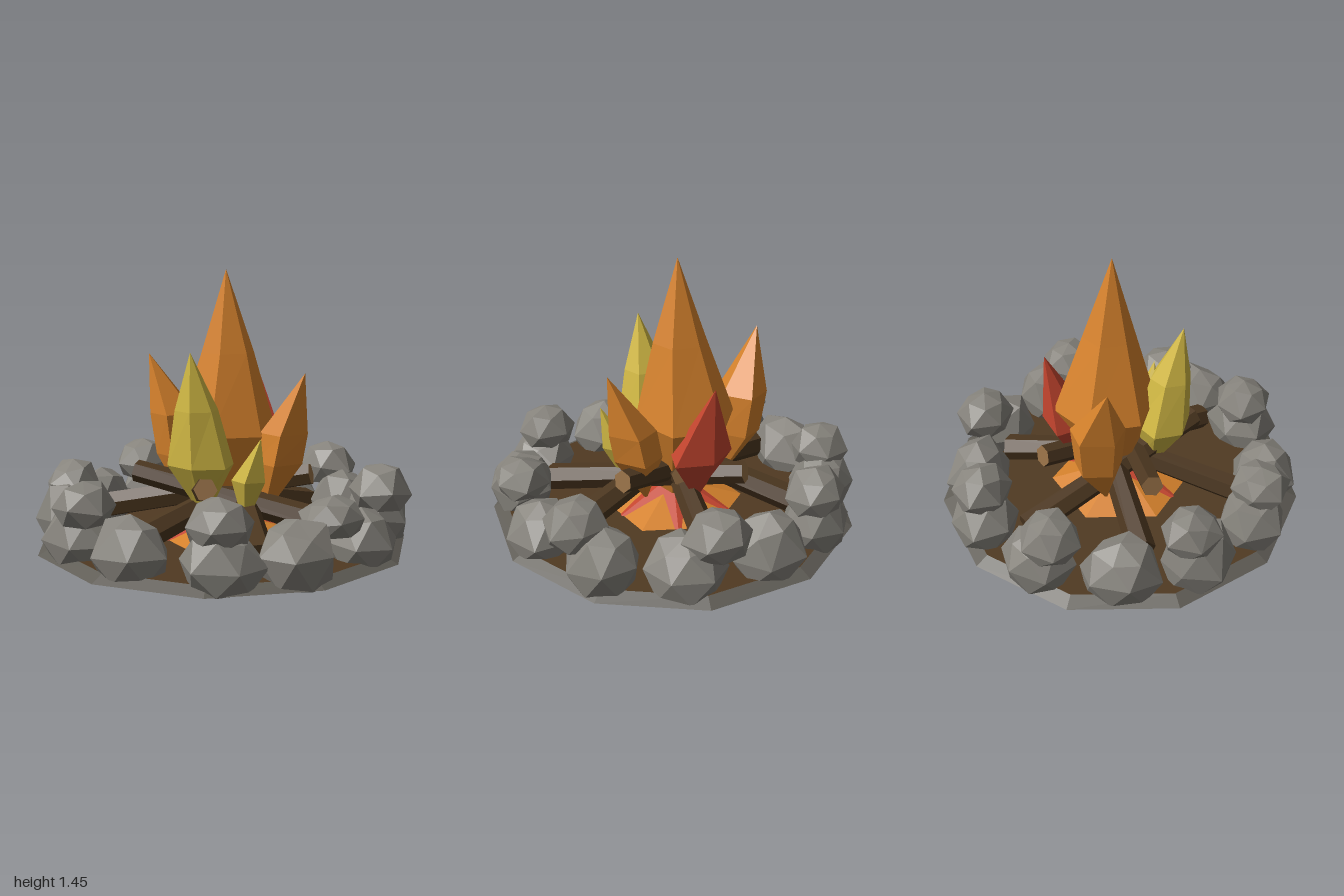
import * as THREE from 'three';

const mat = (name, color) => {
  const m = new THREE.MeshStandardMaterial({ color, flatShading: true });
  m.name = name;
  return m;
};

export function createModel() {
  const model = new THREE.Group();
  model.name = 'campfire';
  const stone = mat('stone grey', 0x86837c);
  const rim = mat('rim grey', 0x5f5c55);
  const soil = mat('soil brown', 0x503a22);
  const bark = mat('bark brown', 0x4c3720);
  const cut = mat('cut wood', 0x946e45);
  const orange = mat('flame orange', 0xd6822c);
  const yellow = mat('flame yellow', 0xd2b944);
  const red = mat('flame red', 0xc4452f);

  let seed = 11;
  const rand = () => (seed = (seed * 16807) % 2147483647) / 2147483647;
  const add = (geometry, material, name, parent = model) => {
    const mesh = new THREE.Mesh(geometry, material);
    mesh.name = name;
    parent.add(mesh);
    return mesh;
  };
  const group = (name) => {
    const g = new THREE.Group();
    g.name = name;
    model.add(g);
    return g;
  };

  // Eleven-sided patch of earth with a sloping grey rim
  const ground = new THREE.CylinderGeometry(0.93, 1, 0.036, 11, 1, false, Math.PI / 2);
  add(ground, [rim, soil, soil], 'ground').position.y = 0.022;

  // Glowing embers: two low six-sided cones, turned so their corners alternate
  const embers = group('embers');
  add(new THREE.ConeGeometry(0.4, 0.13, 6, 1, false, Math.PI / 3), orange, 'orangeEmbers', embers).position.y = 0.1;
  add(new THREE.ConeGeometry(0.355, 0.15, 6, 1, false, Math.PI / 6), red, 'redEmbers', embers).position.y = 0.11;

  // Stone: faceted lump of three rings, each turned half a step, with a flat foot
  const rocks = group('stoneRing');
  const yAxis = new THREE.Vector3(0, 1, 0);
  const ringShape = { '-1': [0, 0.78], 0: [0.4, 1], 1: [0.84, 0.64] };
  const addRock = (name, x, z, bottom, top, sx, sz) => {
    const geo = new THREE.SphereGeometry(1, 6, 4).toNonIndexed();
    const p = geo.attributes.position;
    const spin = rand() * 6.28;
    const corners = new Map();
    const v = new THREE.Vector3();
    for (let i = 0; i < p.count; i++) {
      v.fromBufferAttribute(p, i);
      const key = v.toArray().map((c) => Math.round(c * 100)).join();
      if (!corners.has(key)) corners.set(key, [0.9 + rand() * 0.15, (rand() - 0.5) * 0.2]);
      const [spread, lift] = corners.get(key);
      const ring = Math.round(v.y * 1.4);
      const pole = Math.abs(v.y) > 0.9;
      const [level, radius] = ringShape[ring];
      let height = level + lift;
      if (ring < 0) height = 0;
      else if (pole) height = 1;
      v.y = 0;
      if (!pole) v.setLength(radius * spread);
      v.applyAxisAngle(yAxis, spin + (ring * Math.PI) / 6);
      p.setXYZ(i, v.x * sx, height * (top - bottom), v.z * sz);
    }
    geo.rotateY(Math.atan2(x, z));
    geo.computeVertexNormals();
    add(geo, stone, name, rocks).position.set(x, bottom, z);
  };

  // Twelve stones on the ground: [x, z, top height]
  [
    [-0.05, 0.8, 0.31], [0.41, 0.73, 0.28], [0.68, 0.5, 0.31], [0.81, 0.03, 0.28],
    [0.71, -0.42, 0.33], [0.41, -0.69, 0.3], [-0.03, -0.79, 0.33], [-0.4, -0.73, 0.29],
    [-0.72, -0.43, 0.32], [-0.81, -0.01, 0.31], [-0.73, 0.38, 0.34], [-0.43, 0.69, 0.29],
  ].forEach(([x, z, top]) => addRock('groundStone', x, z, 0, top, 0.215, 0.19));

  // Eight stones resting on top: [x, z, top height]
  [
    [0.39, 0.73, 0.43], [0.77, 0.3, 0.39], [0.79, -0.3, 0.44], [0.28, -0.77, 0.44],
    [-0.38, -0.73, 0.44], [-0.75, -0.36, 0.43], [-0.73, 0.35, 0.43], [-0.38, 0.73, 0.42],
  ].forEach(([x, z, top]) => addRock('upperStone', x, z, 0.21, top, 0.175, 0.165));

  // Six leaning logs: low outer end, raised inner end
  const logs = group('logs');
  [
    [[-0.47, 0.1, -0.5], [0.14, 0.37, 0.42]],
    [[0.21, 0.1, -0.64], [-0.04, 0.28, 0.08]],
    [[0.68, 0.13, -0.07], [-0.45, 0.36, 0.16]],
    [[0.49, 0.1, 0.5], [-0.17, 0.34, -0.42]],
    [[-0.17, 0.1, 0.62], [0.08, 0.3, -0.2]],
    [[-0.68, 0.13, 0.1], [0.44, 0.37, -0.18]],
  ].forEach(([a, b]) => {
    const low = new THREE.Vector3(...a);
    const high = new THREE.Vector3(...b);
    const dir = high.clone().sub(low);
    const log = add(new THREE.CylinderGeometry(0.06, 0.075, dir.length(), 6), [bark, cut, bark], 'log', logs);
    log.position.copy(low).add(high).multiplyScalar(0.5);
    log.quaternion.setFromUnitVectors(yAxis, dir.normalize());
  });

  // Flame: faceted spindle lofted through rings [x, y, z, rx, rz] from tip to base
  const flames = group('flames');
  const addFlame = (name, material, sides, turn, rings) => {
    const geo = new THREE.CylinderGeometry(1, 1, 1, sides, rings.length - 1, true, turn);
    const p = geo.attributes.position;
    for (let i = 0; i < p.count; i++) {
      const [x, y, z, rx, rz] = rings[Math.floor(i / (sides + 1))];
      p.setXYZ(i, x + p.getX(i) * rx, y, z + p.getZ(i) * rz);
    }
    const flat = geo.toNonIndexed();
    flat.computeVertexNormals();
    add(flat, material, name, flames);
  };
  addFlame('mainFlame', orange, 6, 0.2, [
    [0, 1.45, -0.04, 0, 0],
    [0, 1.01, -0.06, 0.145, 0.14],
    [-0.02, 0.58, -0.08, 0.275, 0.28],
    [0, 0.1, -0.03, 0.08, 0.08],
  ]);
  addFlame('rightSideFlame', orange, 5, 0.3, [
    [-0.51, 0.98, -0.07, 0, 0],
    [-0.375, 0.65, -0.12, 0.13, 0.15],
    [-0.35, 0.42, -0.12, 0.12, 0.13],
    [-0.27, 0.14, -0.08, 0.01, 0.01],
  ]);
  addFlame('leftSideFlame', orange, 5, 1.57, [
    [0.45, 0.92, -0.07, 0, 0],
    [0.33, 0.6, -0.09, 0.13, 0.15],
    [0.3, 0.44, -0.09, 0.13, 0.16],
    [0.22, 0.15, -0.06, 0.01, 0.01],
  ]);
  addFlame('frontFlame', yellow, 6, 0.2, [
    [0, 1.04, 0.33, 0, 0],
    [0, 0.74, 0.27, 0.115, 0.11],
    [0, 0.45, 0.23, 0.185, 0.155],
    [0, 0.25, 0.2, 0.06, 0.06],
  ]);
  addFlame('smallFlame', yellow, 5, 0.2, [
    [0.335, 0.61, 0.2, 0, 0],
    [0.25, 0.38, 0.16, 0.095, 0.09],
    [0.22, 0.2, 0.14, 0.03, 0.03],
  ]);
  addFlame('backFlame', red, 5, Math.PI, [
    [0.02, 0.86, -0.4, 0, 0],
    [0.04, 0.45, -0.3, 0.19, 0.125],
    [0.02, 0.18, -0.24, 0.02, 0.02],
  ]);

  return model;
}
